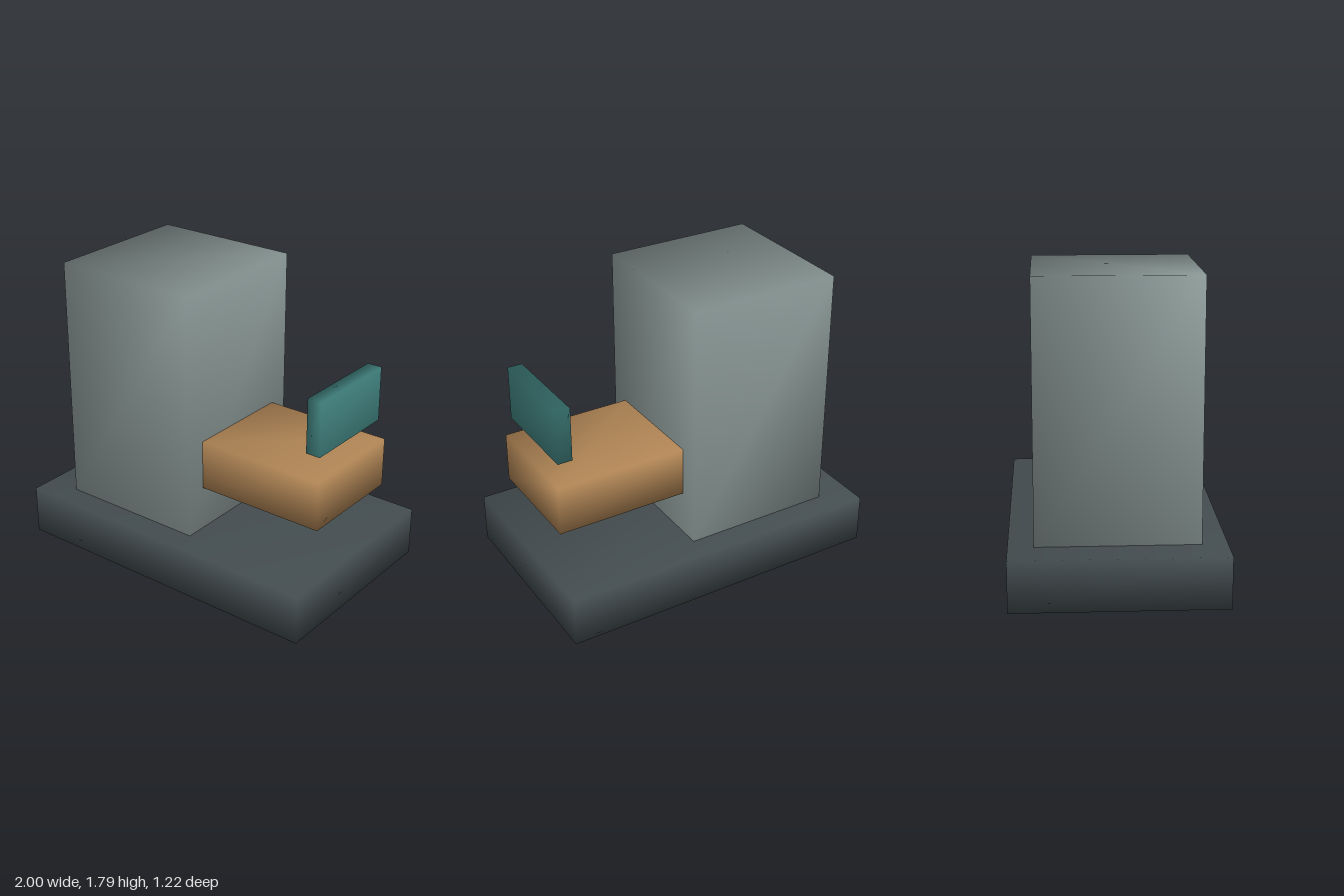
import * as THREE from 'three';
import { mergeVertices } from 'three/addons/utils/BufferGeometryUtils.js';

// Box between two corners, with shared corner vertices so the shading is smooth
function softBox(name, min, max, color) {
  const size = max.map((v, i) => v - min[i]);
  let geometry = new THREE.BoxGeometry(...size);
  geometry.deleteAttribute('normal');
  geometry.deleteAttribute('uv');
  geometry = mergeVertices(geometry);
  geometry.computeVertexNormals();
  const mesh = new THREE.Mesh(geometry, new THREE.MeshStandardMaterial({ color }));
  mesh.name = name;
  mesh.position.set(...min.map((v, i) => (v + max[i]) / 2));
  return mesh;
}

export function createModel() {
  const group = new THREE.Group();
  group.name = 'machine';
  group.add(
    // Wide floor plinth
    softBox('base', [-1, 0, -0.61], [1, 0.3, 0.61], 0x434c4f),
    // Tall main body
    softBox('column', [-0.79, 0.3, -0.465], [0.13, 1.795, 0.465], 0x8a9896),
    // Side table projecting from the body
    softBox('table', [0.13, 0.57, -0.34], [0.935, 0.87, 0.34], 0xb08555),
    // Thin upright panel above the table's outer edge
    softBox('panel', [0.82, 1.0, -0.3], [0.91, 1.33, 0.3], 0x3f7f7c),
  );
  return group;
}
